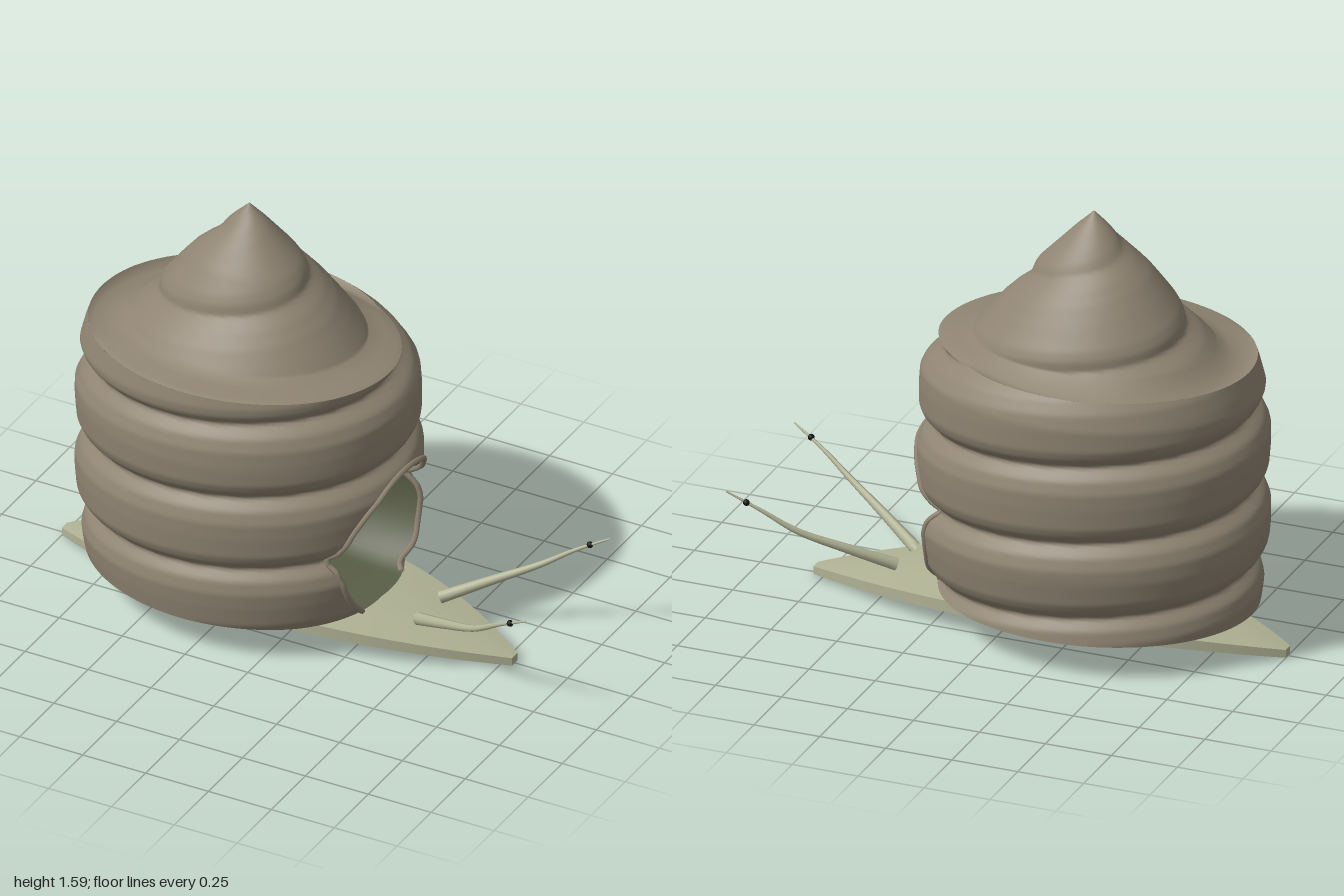
import * as THREE from 'three';

const CX = -0.265, RX = 0.635, RZ = 0.52;        // shell centre and half widths
const BASE = 0.14, RIM = 1.07, PITCH = 0.295;    // shell heights and rise per turn
const HOLE = { y: 0.39, r: 0.287 };              // shell mouth, facing +x

const shellMat = new THREE.MeshStandardMaterial({ color: 0x8f8472, side: THREE.DoubleSide });
const fleshMat = new THREE.MeshStandardMaterial({ color: 0xb0b294, side: THREE.DoubleSide });
const cavityMat = new THREE.MeshStandardMaterial({ color: 0x5a5f48, side: THREE.DoubleSide });
const eyeMat = new THREE.MeshStandardMaterial({ color: 0x111111 });

// Linear lookup in a list of [input, output] pairs
function lookup(table, v) {
  for (let i = 1; i < table.length; i++) {
    const [a, ra] = table[i - 1], [b, rb] = table[i];
    if (v <= b) return ra + (rb - ra) * Math.max(0, (v - a) / (b - a));
  }
  return table[table.length - 1][1];
}

const whorl = [[0, 0.9], [0.05, 0.925], [0.13, 0.965], [0.24, 0.99], [0.5, 1], [0.7, 1], [0.86, 0.97], [0.95, 0.925], [1, 0.9]];
const envelope = [[BASE, 0.945], [0.4, 1], [0.8, 1], [0.97, 0.98], [RIM, 0.925]];
const spire = [[1.1, 0.7], [1.2, 0.565], [1.3, 0.435], [1.38, 0.33], [1.46, 0.205], [1.53, 0.1], [1.59, 0]];

// Spiral groove: angle a runs from -x through +z to +x
function groove(a, y) {
  const u = (y - 0.29) / PITCH - a / (2 * Math.PI);
  return lookup(whorl, u - Math.floor(u));
}
const bodyRadius = (a, y) => lookup(envelope, y) * groove(a, y);
const place = (a, y, r) => new THREE.Vector3(CX - RX * r * Math.cos(a), y, RZ * r * Math.sin(a));

// Point of the shell wall on the +x side at a given z and y
function wallPoint(z, y) {
  let a = Math.PI;
  for (let i = 0; i < 5; i++) a = Math.PI - Math.asin(z / (RZ * bodyRadius(a, y)));
  return place(a, y, bodyRadius(a, y));
}
function mouthPoint(phi) {
  return wallPoint(HOLE.r * Math.cos(phi), Math.max(BASE, HOLE.y + HOLE.r * Math.sin(phi)));
}

// Surface from closed rings of points; faces whose corners are all skipped are left out
function loft(name, rings, mat, skip) {
  const n = rings[0].length, index = [];
  const add = (...t) => { if (!skip || !t.every((k) => skip.has(k))) index.push(...t); };
  for (let i = 0; i < rings.length - 1; i++) {
    for (let j = 0; j < n; j++) {
      const a = i * n + j, b = i * n + (j + 1) % n;
      add(a, b, b + n);
      add(a, b + n, a + n);
    }
  }
  const geo = new THREE.BufferGeometry().setFromPoints(rings.flat());
  geo.setIndex(index);
  geo.computeVertexNormals();
  const mesh = new THREE.Mesh(geo, mat);
  mesh.name = name;
  return mesh;
}

function ring(n, fn) {
  return Array.from({ length: n }, (_, j) => fn((j / n) * Math.PI * 2));
}

// Grooved shell wall with the round mouth cut out
function shellWall() {
  const rows = 84, n = 144, rings = [], skip = new Set();
  for (let i = 0; i <= rows; i++) {
    const y = BASE + (RIM - BASE) * i / rows;
    rings.push(ring(n, (a) => place(a, y, bodyRadius(a, y))));
  }
  rings.forEach((pts, i) => pts.forEach((p, j) => {
    const d = Math.hypot(p.z, p.y - HOLE.y);
    if (p.x < 0 || d >= HOLE.r) return;
    skip.add(i * n + j);
    pts[j] = mouthPoint(Math.atan2(p.y - HOLE.y, p.z));
  }));
  return loft('shellWall', rings, shellMat, skip);
}

// Shoulder with a shallow dip behind the rim, then the pointed spire
function shellSpire() {
  const n = 96;
  const dip = (a) => 0.05 * Math.max(0, Math.cos(a + Math.PI / 4));
  const rings = [
    ring(n, (a) => place(a, RIM, bodyRadius(a, RIM))),
    ring(n, (a) => place(a, RIM + 0.008 - dip(a), 0.96 * bodyRadius(a, RIM))),
    ring(n, (a) => place(a, RIM + 0.015 - dip(a), 0.78)),
  ];
  for (let i = 0; i <= 44; i++) {
    const y = 1.1 + 0.49 * i / 44;
    rings.push(ring(n, (a) => place(a, y, lookup(spire, y) * groove(a, y))));
  }
  return loft('shellSpire', rings, shellMat);
}

// Flat underside of the shell
function shellBase() {
  const rings = [0, 1].map((s) => ring(96, (a) => {
    const p = place(a, BASE, s * bodyRadius(a, BASE));
    if (p.x > 0.3 && Math.abs(p.z) < 0.14) p.x = 0.3;
    return p;
  }));
  return loft('shellBase', rings, shellMat);
}

// Hollow behind the mouth
function mouthCavity() {
  const rings = [];
  for (let k = 0; k <= 12; k++) {
    const t = (k / 12) * Math.PI / 2;
    rings.push(ring(64, (phi) => {
      const p = mouthPoint(phi), s = Math.cos(t);
      return new THREE.Vector3(
        THREE.MathUtils.lerp(p.x, -0.35, Math.sin(t)),
        HOLE.y + (p.y - HOLE.y) * s,
        p.z * s);
    }));
  }
  return loft('mouthCavity', rings, cavityMat);
}

// Thin lip following the mouth edge
function mouthLip() {
  const start = -1.03, end = Math.PI + 1.03, pts = [];
  for (let i = 0; i <= 60; i++) pts.push(mouthPoint(start + (end - start) * i / 60));
  const lip = new THREE.Mesh(
    new THREE.TubeGeometry(new THREE.CatmullRomCurve3(pts), 120, 0.011, 6), shellMat);
  lip.name = 'mouthLip';
  return lip;
}

// Arched, leaf-shaped foot built as strips so that its edges stay sharp
function foot() {
  const group = new THREE.Group();
  group.name = 'foot';
  const section = (t) => {
    const k = 1 - t * t, w = 0.02 + 0.272 * k;
    return {
      under: [[-w, 0.005 + 0.075 * k], [-w / 2, 0.005 + 0.045 * k], [0, 0.005 + 0.028 * k], [w / 2, 0.005 + 0.045 * k], [w, 0.005 + 0.075 * k]],
      top: [[w, 0.035 + 0.09 * k], [w / 2, 0.035 + 0.103 * k], [0, 0.035 + 0.112 * k], [-w / 2, 0.035 + 0.103 * k], [-w, 0.035 + 0.09 * k]],
    };
  };
  const parts = {
    footUnderside: (s) => s.under,
    footTop: (s) => s.top,
    footLeftEdge: (s) => [s.under[4], s.top[0]],
    footRightEdge: (s) => [s.top[4], s.under[0]],
  };
  for (const [name, pick] of Object.entries(parts)) {
    const count = pick(section(0)).length - 1;
    const geo = new THREE.PlaneGeometry(1, 1, count, 40), pos = geo.attributes.position;
    for (let i = 0; i <= 40; i++) {
      const t = i / 20 - 1;
      pick(section(t)).forEach(([z, y], j) => pos.setXYZ(i * (count + 1) + j, -0.105 + 0.895 * t, y, z));
    }
    geo.computeVertexNormals();
    const mesh = new THREE.Mesh(geo, fleshMat);
    mesh.name = name;
    group.add(mesh);
  }
  // Blunt tips
  for (const s of [-1, 1]) {
    const tip = new THREE.Mesh(new THREE.PlaneGeometry(0.04, 0.03), fleshMat);
    tip.position.set(-0.105 + 0.895 * s, 0.02, 0);
    tip.rotation.y = s * Math.PI / 2;
    tip.name = 'footTip';
    group.add(tip);
  }
  return group;
}

// Tapered, bent feeler with an eye near its end
function feeler(side) {
  const group = new THREE.Group();
  group.name = side > 0 ? 'leftFeeler' : 'rightFeeler';
  const curve = new THREE.CatmullRomCurve3([[0.45, 0.13, 0.08], [0.6, 0.197, 0.16], [0.76, 0.27, 0.238], [0.88, 0.345, 0.277], [1, 0.41, 0.308]]
    .map(([x, y, z]) => new THREE.Vector3(x, y, z * side)));
  const geo = new THREE.TubeGeometry(curve, 24, 1, 10), pos = geo.attributes.position;
  const v = new THREE.Vector3();
  for (let i = 0; i < pos.count; i++) {
    const t = Math.floor(i / 11) / 24, c = curve.getPointAt(t);
    v.fromBufferAttribute(pos, i).sub(c).multiplyScalar(0.023 - 0.02 * t).add(c);
    pos.setXYZ(i, v.x, v.y, v.z);
  }
  geo.computeVertexNormals();
  const stalk = new THREE.Mesh(geo, fleshMat);
  stalk.name = 'feelerStalk';
  const eye = new THREE.Mesh(new THREE.SphereGeometry(0.012, 12, 8), eyeMat);
  eye.position.set(0.93, 0.373, 0.293 * side);
  eye.name = 'eye';
  group.add(stalk, eye);
  return group;
}

export function createModel() {
  const model = new THREE.Group();
  model.name = 'snail';
  model.add(shellWall(), shellSpire(), shellBase(), mouthCavity(), mouthLip(), foot(), feeler(1), feeler(-1));
  return model;
}
